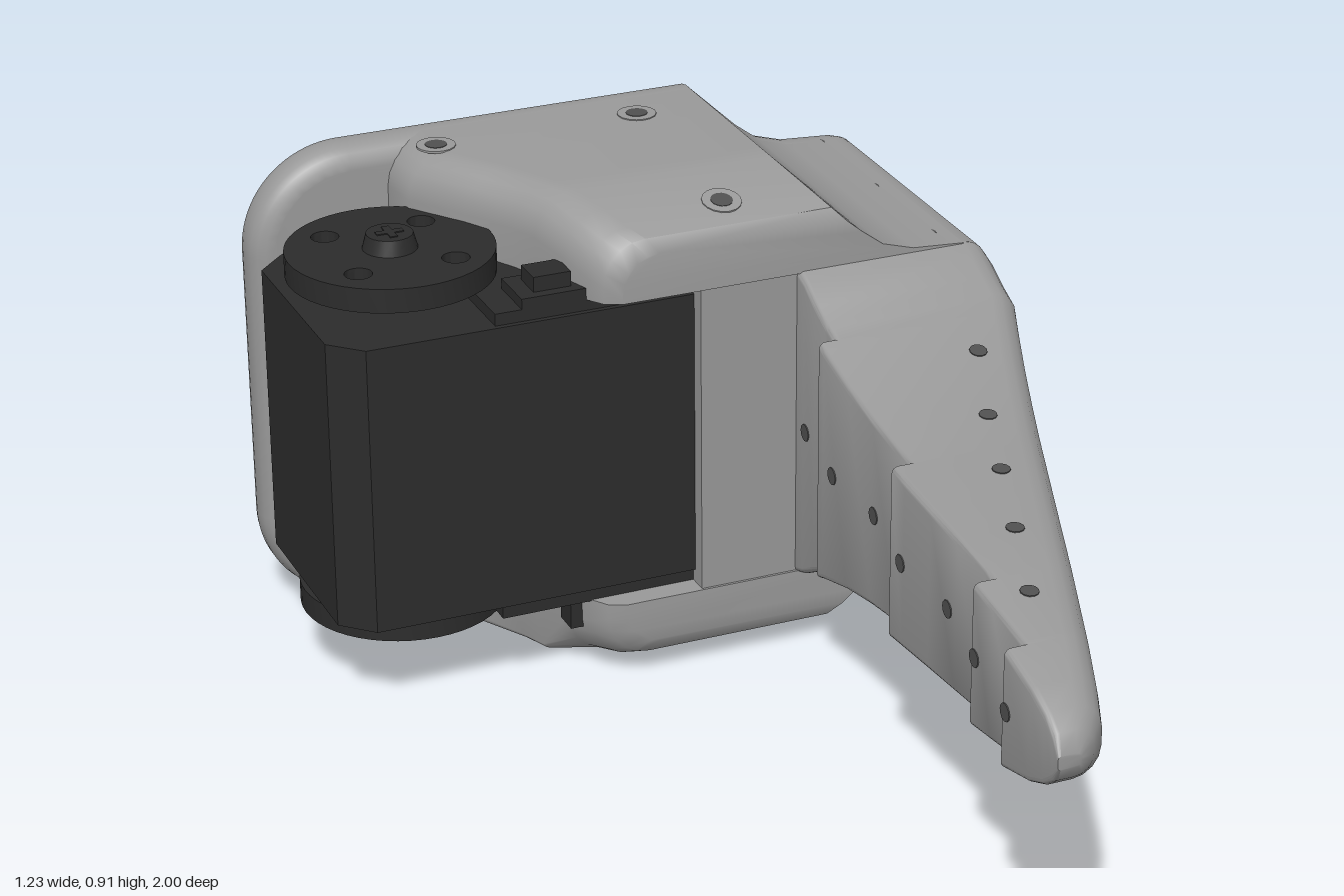
import * as THREE from 'three';
import { toCreasedNormals } from 'three/addons/utils/BufferGeometryUtils.js';

const MID = 0.45; // height of the plane of symmetry
const V = (x, y) => new THREE.Vector2(x, y);

// Skin of quads through equal-length rings (counter-clockwise seen from +z, z rising), capped at both ends.
function loft(rings) {
  const n = rings[0].length, pos = [], idx = [];
  rings.forEach((ring) => ring.forEach((p) => pos.push(...p)));
  for (let i = 0; i < rings.length - 1; i++) {
    for (let j = 0; j < n; j++) {
      const a = i * n + j, b = i * n + (j + 1) % n;
      idx.push(a, b, b + n, a, b + n, a + n);
    }
  }
  const last = (rings.length - 1) * n;
  const cap = (ring) => THREE.ShapeUtils.triangulateShape(ring.map((p) => V(p[0], p[1])), []);
  cap(rings[0]).forEach(([a, b, c]) => idx.push(a, c, b));
  cap(rings[rings.length - 1]).forEach(([a, b, c]) => idx.push(last + a, last + b, last + c));
  const g = new THREE.BufferGeometry();
  g.setAttribute('position', new THREE.Float32BufferAttribute(pos, 3));
  g.setIndex(idx);
  return g;
}

const extrude = (shape, depth, options = {}) =>
  new THREE.ExtrudeGeometry(shape, { depth, bevelEnabled: false, curveSegments: 10, ...options });

function circleHole(shape, x, y, r) {
  shape.holes.push(new THREE.Path().absarc(x, y, r, 0, Math.PI * 2, true));
}

export function createModel() {
  const model = new THREE.Group();
  const grey = new THREE.MeshStandardMaterial({ color: 0x999999 });
  const dark = new THREE.MeshStandardMaterial({ color: 0x2c2c2c });
  const shadow = new THREE.MeshStandardMaterial({ color: 0x505050 });

  const add = (name, geometry, material = grey, x = 0, y = 0, z = 0) => {
    const mesh = new THREE.Mesh(toCreasedNormals(geometry, 0.6), material);
    mesh.name = name;
    mesh.position.set(x, y, z);
    model.add(mesh);
    return mesh;
  };
  const disc = (name, r, y0, y1, x, z, material = dark, sides = 32) =>
    add(name, new THREE.CylinderGeometry(r, r, y1 - y0, sides), material, x, (y0 + y1) / 2, z);

  // Back plate with rounded rim
  const slope = [[0.26, 0.9], [0.36, 0.805], [0.4, 0.775], [0.46, 0.757], [0.56, 0.75], [0.585, 0.743],
    [0.603, 0.725], [0.61, 0.7]];
  const plate = new THREE.Shape();
  plate.moveTo(-0.61, 0.19);
  plate.absarc(-0.42, 0.19, 0.19, Math.PI, Math.PI * 1.5, false);
  slope.forEach(([x, y]) => plate.lineTo(x, 0.9 - y));
  [...slope].reverse().forEach(([x, y]) => plate.lineTo(x, y));
  plate.absarc(-0.42, 0.71, 0.19, Math.PI / 2, Math.PI, false);
  add('backPlate', extrude(plate, 0.02, {
    bevelEnabled: true, bevelThickness: 0.04, bevelSize: 0.04, bevelOffset: -0.04, bevelSegments: 4,
  }), grey, 0, 0, -0.84);

  // Side block with a large cross hole and four screw holes; outer long edges rounded
  const side = new THREE.Shape([V(0.28, 0.15), V(0.84, 0.15), V(0.84, 0.75), V(0.28, 0.75)]);
  circleHole(side, 0.54, MID, 0.14);
  for (const u of [0.36, 0.72]) for (const y of [0.21, 0.69]) circleHole(side, u, y, 0.016);
  const block = extrude(side, 0.56, { steps: 28 }).rotateY(Math.PI / 2).translate(0.05, 0, 0);
  const bp = block.attributes.position;
  for (let i = 0; i < bp.count; i++) {
    const d = bp.getY(i) - MID, e = Math.max(0, bp.getX(i) - 0.56);
    if (Math.abs(d) > 0.28) {
      const inset = 0.05 - Math.sqrt(Math.max(0, 0.0025 - e * e));
      bp.setY(i, MID + Math.sign(d) * (0.3 - inset));
    }
  }
  add('sideBlock', block);

  // Upper and lower housing walls: [z, left edge, top height]; the lower one is square-edged behind
  const stations = [
    [-0.84, -0.35, 0.9], [-0.78, -0.35, 0.9], [-0.7, -0.34, 0.9], [-0.6, -0.27, 0.9], [-0.5, -0.215, 0.9],
    [-0.45, -0.195, 0.9], [-0.38, -0.17, 0.883], [-0.32, -0.15, 0.868], [-0.29, -0.13, 0.855], [-0.275, -0.1, 0.83],
  ];
  for (const s of [1, -1]) {
    const rings = stations.map(([z, left, top]) => {
      const ring = [[left, 0.745], [0.56, 0.745], [0.56, 0.75], [0.46, 0.757], [0.4, 0.775], [0.36, 0.805],
        [0.26 + (0.9 - top), top]];
      const r = s < 0 && z < -0.4 ? 0.015 : Math.min(0.08, top - 0.76);
      for (let k = 0; k <= 5; k++) {
        const a = Math.PI / 2 * (1 + k / 5);
        ring.push([left + r + r * Math.cos(a), top - r + r * Math.sin(a)]);
      }
      const out = ring.map(([x, y]) => [x, MID + s * (y - MID), z]);
      return s > 0 ? out : out.reverse();
    });
    add(s > 0 ? 'upperWall' : 'lowerWall', loft(rings));
  }

  // Finger: tapering loft, stepped on the gripping side, rounded on the outer side
  const heights = [[-0.28, 0.3], [-0.25, 0.29], [-0.2, 0.263], [-0.15, 0.241], [-0.1, 0.224], [0, 0.197], [0.1, 0.179],
    [0.2, 0.166], [0.4, 0.15], [0.6, 0.135], [0.8, 0.11], [0.9, 0.086], [0.95, 0.065], [0.98, 0.042], [1, 0.012]];
  const halfHeight = (z) => {
    const i = Math.max(1, heights.findIndex((h) => h[0] >= z));
    const [z0, h0] = heights[i - 1], [z1, h1] = heights[i];
    return h0 + (h1 - h0) * (z - z0) / (z1 - z0);
  };
  const outer = (z) => Math.min(0.61, 0.61 - 0.366 * (z + 0.16)) - (z > 0.94 ? 12 * (z - 0.94) ** 2 : 0);
  const steps = [[-0.12, 0.235], [0.25, 0.205], [0.63, 0.17], [0.81, 0.135], [1, 0.1]];
  const inner = (z) => steps.find((s) => z <= s[0])[1];
  const section = (z, xi) => {
    const xo = outer(z), h = halfHeight(z), r = Math.min(0.05, h * 0.8, (xo - xi) * 0.6);
    const q = Math.min(0.012, h * 0.4), ring = [];
    const corner = (cx, cy, rad, a0) => {
      for (let k = 0; k <= 4; k++) {
        const a = a0 + Math.PI / 2 * k / 4;
        ring.push([cx + rad * Math.cos(a), MID + cy + rad * Math.sin(a), z]);
      }
    };
    corner(xo - r, -h + r, r, -Math.PI / 2);
    corner(xo - r, h - r, r, 0);
    corner(xi + q, h - q, q, Math.PI / 2);
    corner(xi + q, -h + q, q, Math.PI);
    return ring;
  };
  const cuts = [...heights.map((h) => h[0]), -0.16, -0.12, 0.25, 0.3, 0.5, 0.63, 0.7, 0.81].sort((a, b) => a - b);
  const rings = [];
  for (const z of cuts) {
    rings.push(section(z, inner(z)));
    const i = steps.findIndex((s) => s[0] === z);
    if (i >= 0 && i < steps.length - 1) rings.push(section(z, steps[i + 1][1]));
  }
  add('finger', loft(rings));

  // Small mounting holes along the finger and block
  const vertical = [[0.52, -0.82], [0.52, -0.58], [0.52, -0.34], [0.47, -0.03], [0.4, 0.15], [0.34, 0.32],
    [0.275, 0.5], [0.21, 0.68]];
  for (const [x, z] of vertical) {
    const h = z < -0.28 ? 0.3 : halfHeight(z);
    const tilt = z < -0.28 ? 0 : Math.atan((halfHeight(z - 0.02) - halfHeight(z + 0.02)) / 0.04);
    for (const s of [1, -1]) {
      disc('edgeHole', 0.016, MID + s * h - 0.002, MID + s * h + 0.002, x, z, shadow, 12).rotation.x = s * tilt;
    }
  }
  for (const z of [0.82, 0.64, 0.47, 0.29, 0.11, -0.06, -0.24]) {
    for (const x of [inner(z), outer(z)]) {
      const hole = add('fingerHole', new THREE.CylinderGeometry(0.016, 0.016, 0.004, 12), shadow, x, MID, z);
      hole.rotation.set(0, x > inner(z) && z > -0.16 ? -Math.atan(0.366) : 0, Math.PI / 2, 'YXZ');
    }
  }
  // Countersunk screw holes in the housing walls
  for (const [x, z, y] of [[-0.27, -0.74, 0.9], [0.12, -0.74, 0.9], [0.12, -0.35, 0.8755]]) {
    for (const s of [1, -1]) {
      const c = MID + s * (y - MID);
      for (const [r, t, material] of [[0.036, 0.002, grey], [0.02, 0.003, shadow]]) {
        const hole = disc('wallScrewHole', r, c - t, c + t, x, z, material, 16);
        if (y < 0.9) hole.rotation.x = s * 0.24;
      }
    }
  }

  // Motor body with chamfered outer corners and raised end covers
  const motor = new THREE.Shape([V(0.05, 0.31), V(0.05, 0.77), V(-0.56, 0.77), V(-0.615, 0.715), V(-0.615, 0.365),
    V(-0.56, 0.31)]);
  add('motorBody', extrude(motor, 0.545).rotateX(-Math.PI / 2), dark, 0, 0.18, 0);
  add('motorCovers', new THREE.BoxGeometry(0.37, 0.595, 0.44), dark, -0.135, MID, -0.54);
  add('motorConnector', new THREE.BoxGeometry(0.14, 0.02, 0.1), dark, -0.2, 0.757, -0.37);
  add('motorConnectorTop', new THREE.BoxGeometry(0.07, 0.03, 0.06), dark, -0.205, 0.78, -0.37);
  add('motorPin', new THREE.BoxGeometry(0.035, 0.07, 0.05), dark, -0.163, 0.125, -0.37);

  // Motor horns at both ends
  const horn = new THREE.Shape().absarc(0, 0, 0.187, 0, Math.PI * 2, false);
  for (const a of [-0.09, 0.09]) for (const b of [-0.09, 0.09]) circleHole(horn, a, b, 0.025);
  for (const y of [0.76, 0.12]) {
    add('motorHorn', extrude(horn, 0.045, { curveSegments: 24 }).rotateX(-Math.PI / 2), dark, -0.43, y, -0.545);
  }
  disc('upperHub', 0.08, 0.72, 0.765, -0.43, -0.545);
  disc('lowerHub', 0.08, 0.16, 0.185, -0.43, -0.545);
  add('upperScrew', new THREE.CylinderGeometry(0.042, 0.05, 0.03, 24), dark, -0.43, 0.818, -0.545);
  disc('lowerScrew', 0.055, 0.11, 0.125, -0.43, -0.545);
  for (const [w, d] of [[0.05, 0.014], [0.014, 0.05]]) {
    add('screwSlot', new THREE.BoxGeometry(w, 0.004, d), dark, -0.43, 0.833, -0.545);
  }

  // Rear coupling boss: round on one side, tapered on the other, with screw holes
  const boss = new THREE.Shape();
  boss.moveTo(0.205, 0.09);
  boss.absarc(0, 0, 0.225, 1.23, Math.PI * 2 - 1.23, false);
  boss.lineTo(0.205, -0.09);
  for (const a of [-0.09, 0.09]) for (const b of [-0.09, 0.09]) circleHole(boss, a, b, 0.028);
  const slot = new THREE.Path();
  slot.absarc(0.02, 0, 0.042, Math.PI / 2, -Math.PI / 2, true);
  slot.absarc(-0.02, 0, 0.042, -Math.PI / 2, -Math.PI * 1.5, true);
  boss.holes.push(slot);
  add('rearBoss', extrude(boss, 0.11), grey, -0.045, MID, -0.985);
  const rim = new THREE.Shape();
  rim.absarc(0, 0, 0.225, 1.23, Math.PI * 2 - 1.23, false);
  rim.absarc(0, 0, 0.19, Math.PI * 2 - 1.23, 1.23, true);
  add('rearRim', extrude(rim, 0.03, { curveSegments: 24 }), grey, -0.045, MID, -1);

  // Wedge beside the boss
  const wedge = new THREE.Shape([V(0.155, 0.87), V(0.26, 0.87), V(0.16, 0.985), V(0.155, 0.985)]);
  add('rearWedge', extrude(wedge, 0.18).rotateX(-Math.PI / 2), grey, 0, MID - 0.09, 0);

  return model;
}
